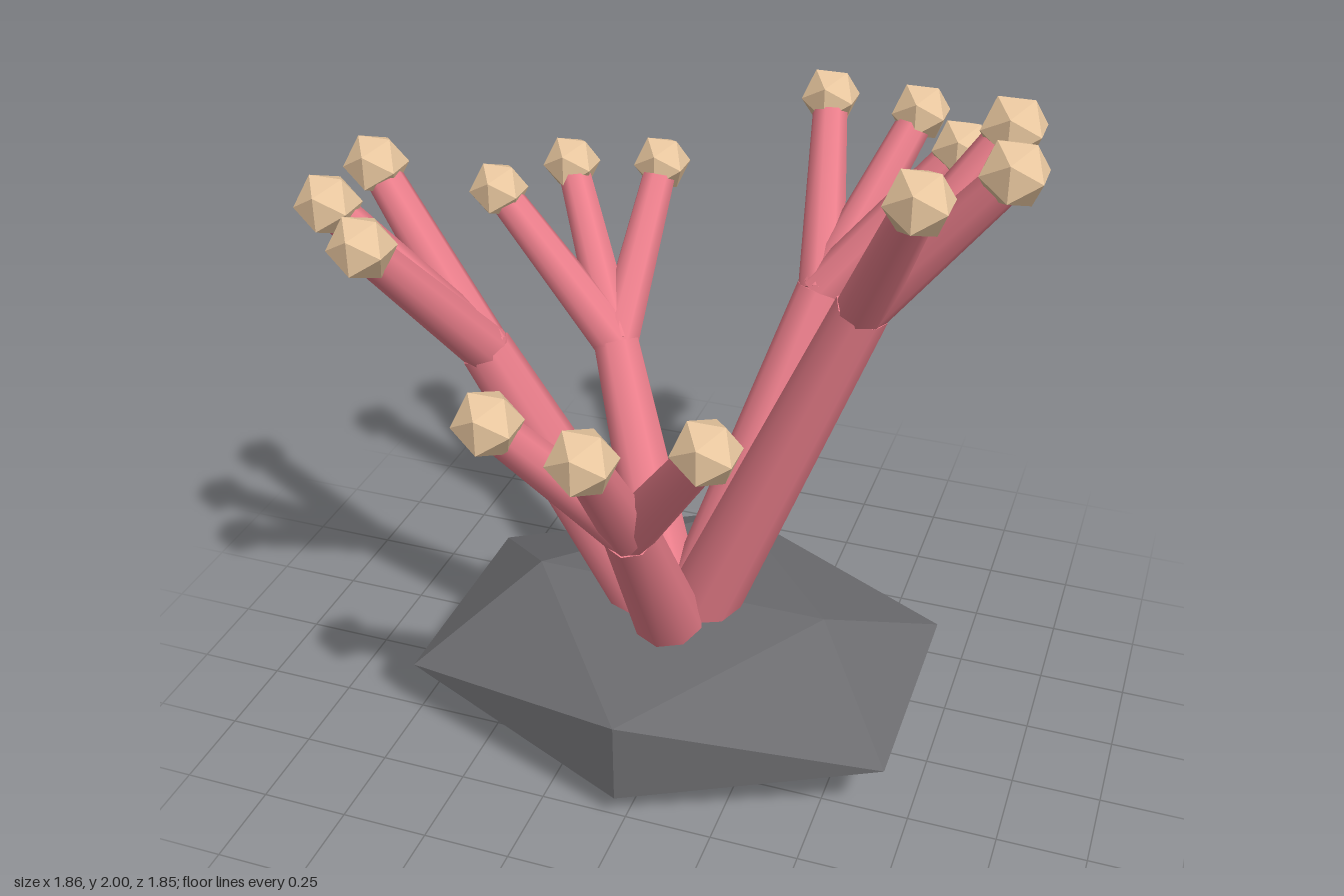
import * as THREE from 'three';

const ROOT = new THREE.Vector3(-0.025, 0.2, -0.04);

// Each stem: fork point, shared tip height, and the [x, z] of its three tips
const STEMS = [
  { name: 'rightStem', fork: [-0.515, 1.22, 0.14], tipY: 1.66, tips: [[-0.86, 0.025], [-0.855, 0.3], [-0.655, 0.5]] },
  { name: 'frontStem', fork: [0.02, 0.96, 0.48], tipY: 1.395, tips: [[-0.22, 0.76], [0.05, 0.845], [0.3, 0.715]] },
  { name: 'leftStem', fork: [0.495, 1.47, 0.065], tipY: 1.925, tips: [[0.68, 0.385], [0.85, 0.155], [0.8, -0.12]] },
  { name: 'backLeftStem', fork: [0.25, 1.22, -0.48], tipY: 1.66, tips: [[0.6, -0.59], [0.435, -0.82], [0.16, -0.855]] },
  { name: 'backRightStem', fork: [-0.36, 0.97, -0.43], tipY: 1.395, tips: [[-0.35, -0.82], [-0.61, -0.73], [-0.74, -0.475]] },
];

export function createModel() {
  const model = new THREE.Group();
  model.name = 'coral';

  const rockMaterial = new THREE.MeshStandardMaterial({ color: 0x6c6c6f, flatShading: true });
  const stemMaterial = new THREE.MeshStandardMaterial({ color: 0xec7f8c });
  const tipMaterial = new THREE.MeshStandardMaterial({ color: 0xeac8a0, flatShading: true });

  // Tapered limb between two points
  const limb = (name, from, to, r0, r1) => {
    const dir = to.clone().sub(from);
    const mesh = new THREE.Mesh(new THREE.CylinderGeometry(r1, r0, dir.length(), 8), stemMaterial);
    mesh.name = name;
    mesh.position.copy(from).addScaledVector(dir, 0.5);
    mesh.quaternion.setFromUnitVectors(new THREE.Vector3(0, 1, 0), dir.normalize());
    return mesh;
  };

  // Squashed faceted rock
  const rock = new THREE.Mesh(new THREE.IcosahedronGeometry(1, 0).scale(0.834, 0.238, 0.658), rockMaterial);
  rock.name = 'rockBase';
  rock.position.set(-0.025, 0.2025, -0.04);
  model.add(rock);

  // Stems, each splitting into three twigs with a knob on the end
  const knobGeometry = new THREE.IcosahedronGeometry(0.088, 0);
  for (const { name, fork, tipY, tips } of STEMS) {
    const stem = new THREE.Group();
    stem.name = name;
    const forkPoint = new THREE.Vector3(...fork);
    stem.add(limb('trunk', ROOT, forkPoint, 0.11, 0.072));
    for (const [x, z] of tips) {
      const end = new THREE.Vector3(x, tipY, z);
      stem.add(limb('twig', forkPoint, end, 0.068, 0.05));
      const knob = new THREE.Mesh(knobGeometry, tipMaterial);
      knob.name = 'tipKnob';
      knob.position.copy(end);
      stem.add(knob);
    }
    model.add(stem);
  }
  return model;
}
